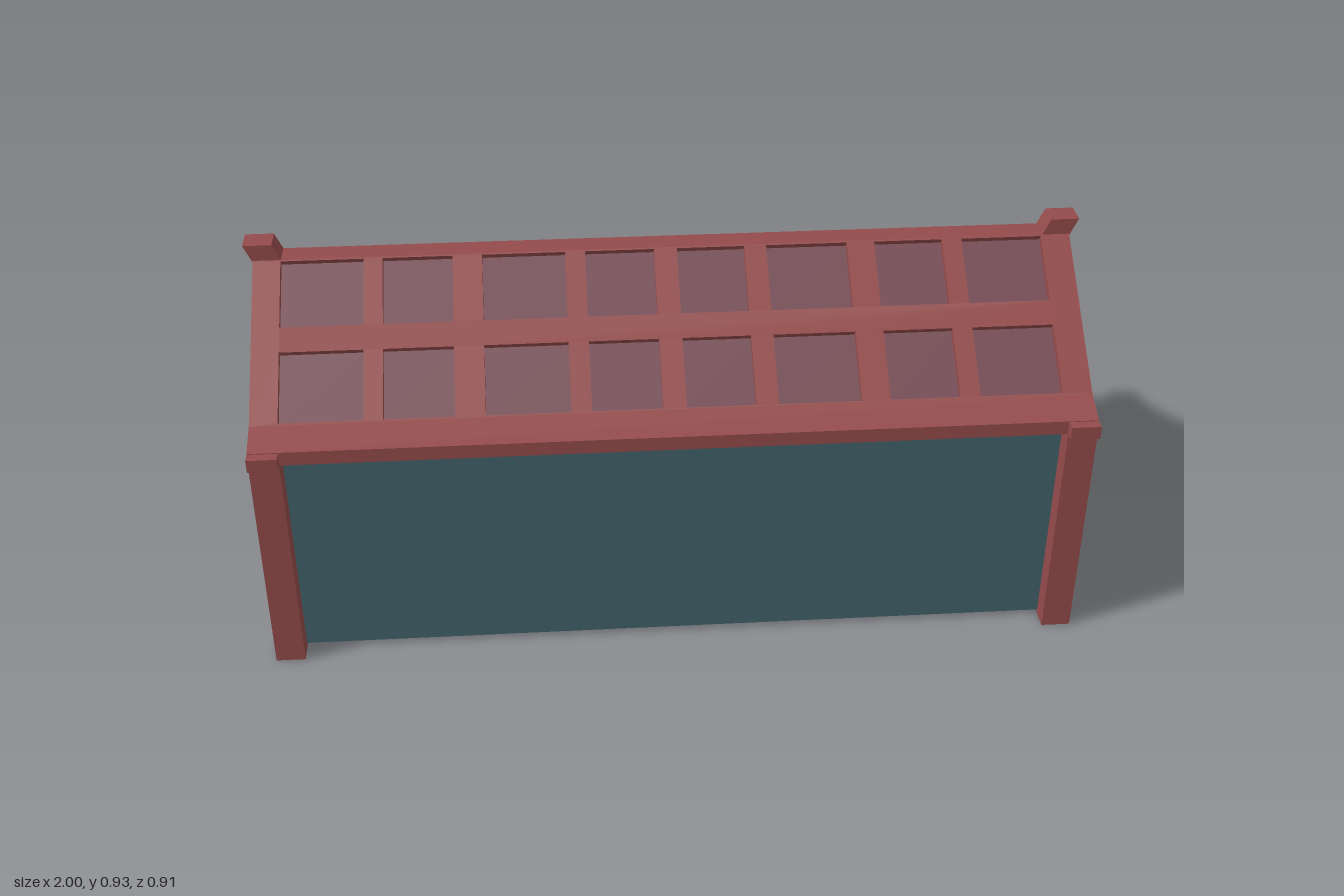
import * as THREE from 'three';

const makeMat = (name, color) => {
  const m = new THREE.MeshStandardMaterial({ color });
  m.name = name;
  return m;
};

export function createModel() {
  const brick = makeMat('brick red', 0x944b4b);
  const teal = makeMat('slate teal', 0x42646b);
  const glass = makeMat('mauve pane', 0x764c55);
  const model = new THREE.Group();
  model.name = 'gabledHall';

  const add = (name, geometry, material, parent = model) => {
    const mesh = new THREE.Mesh(geometry, material);
    mesh.name = name;
    parent.add(mesh);
    return mesh;
  };
  // box given by its minimum and maximum corners
  const box = (name, x0, x1, y0, y1, z0, z1, material) => {
    const g = new THREE.BoxGeometry(x1 - x0, y1 - y0, z1 - z0);
    g.translate((x0 + x1) / 2, (y0 + y1) / 2, (z0 + z1) / 2);
    return add(name, g, material);
  };
  // symmetric end profile, listed as [z, y] for z > 0, swept along x
  const sweep = (half, halfLength) => {
    const pts = [...half, ...half.map(([z, y]) => [-z, y]).reverse()];
    const shape = new THREE.Shape(pts.map(([z, y]) => new THREE.Vector2(z, y)));
    const g = new THREE.ExtrudeGeometry(shape, { depth: halfLength * 2, bevelEnabled: false });
    g.translate(0, 0, -halfLength);
    g.rotateY(-Math.PI / 2);
    return g;
  };

  // walls with gable ends
  add('walls', sweep([[0.385, 0.01], [0.385, 0.58], [0.36, 0.59], [0.03, 0.845]], 0.96), teal);

  // slope measurements
  const run = 0.33, rise = 0.253, length = Math.hypot(run, rise), recess = 0.02;
  const ny = run / length, nz = rise / length;

  // roof base, sunk under the slopes so the panes sit in recesses
  const upper = [
    [0.43, 0.57], [0.43, 0.605], [0.36, 0.632],
    [0.36 - nz * recess, 0.632 - ny * recess],
    [0.03 - nz * recess, 0.885 - ny * recess], [0.03, 0.885],
  ];
  const outer = [...upper, ...upper.map(([z, y]) => [-z, y]).reverse()];
  const inner = [[-0.36, 0.57], [-0.03, 0.825], [0.03, 0.825], [0.36, 0.57]];
  const roofShape = new THREE.Shape([...outer, ...inner].map(([z, y]) => new THREE.Vector2(z, y)));
  const roof = new THREE.ExtrudeGeometry(roofShape, { depth: 1.96, bevelEnabled: false });
  roof.translate(0, 0, -0.98);
  roof.rotateY(-Math.PI / 2);
  add('roofBase', roof, brick);

  // slope plates with rows of window openings
  const columns = [
    [-0.915, -0.72], [-0.675, -0.51], [-0.44, -0.243], [-0.195, -0.03],
    [0.025, 0.187], [0.24, 0.435], [0.502, 0.667], [0.715, 0.91],
  ];
  const rows = [[0.355, 0.217], [0.167, 0.033]].map(r => r.map(z => (0.36 - z) / run * length));

  for (const back of [false, true]) {
    const side = new THREE.Group();
    side.name = back ? 'backSlope' : 'frontSlope';
    if (back) side.rotation.y = Math.PI;
    model.add(side);

    const place = new THREE.Matrix4().makeBasis(
      new THREE.Vector3(1, 0, 0),
      new THREE.Vector3(0, rise / length, -run / length),
      new THREE.Vector3(0, ny, nz),
    ).setPosition(0, 0.632 - ny * recess, 0.36 - nz * recess);

    const rect = (C, x0, x1, s0, s1) => new C([
      new THREE.Vector2(x0, s0), new THREE.Vector2(x1, s0),
      new THREE.Vector2(x1, s1), new THREE.Vector2(x0, s1),
    ]);
    const plate = rect(THREE.Shape, -0.98, 0.98, 0, length);
    for (const [a, b] of columns) {
      const [x0, x1] = back ? [-b, -a] : [a, b];
      for (const [s0, s1] of rows) {
        plate.holes.push(rect(THREE.Path, x0, x1, s0, s1));
        const pane = new THREE.PlaneGeometry(x1 - x0, s1 - s0);
        pane.translate((x0 + x1) / 2, (s0 + s1) / 2, 0.002);
        add('roofPane', pane.applyMatrix4(place), glass, side);
      }
    }
    const g = new THREE.ExtrudeGeometry(plate, { depth: recess, bevelEnabled: false });
    add('slopePlate', g.applyMatrix4(place), brick, side);
  }

  for (const sx of [-1, 1]) {
    const x0 = sx > 0 ? 0.91 : -0.98, x1 = x0 + 0.07;
    for (const sz of [-1, 1]) {
      // corner post and the eave block on top of it
      const span = (a, b) => (sz > 0 ? [a, b] : [-b, -a]);
      box('cornerPost', x0, x1, 0, 0.6, ...span(0.36, 0.434), brick);
      box('eaveBlock', x0, x1, 0.57, 0.603, ...span(0.40, 0.455), brick);
    }
    // ridge finial leaning outwards
    const g = new THREE.BoxGeometry(0.068, 0.045, 0.06);
    const p = g.attributes.position;
    for (let i = 0; i < p.count; i++) if (p.getY(i) > 0) p.setX(i, p.getX(i) + sx * 0.02);
    g.translate(sx * 0.946, 0.9025, 0);
    g.computeVertexNormals();
    add('ridgeFinial', g, brick);
  }
  return model;
}
